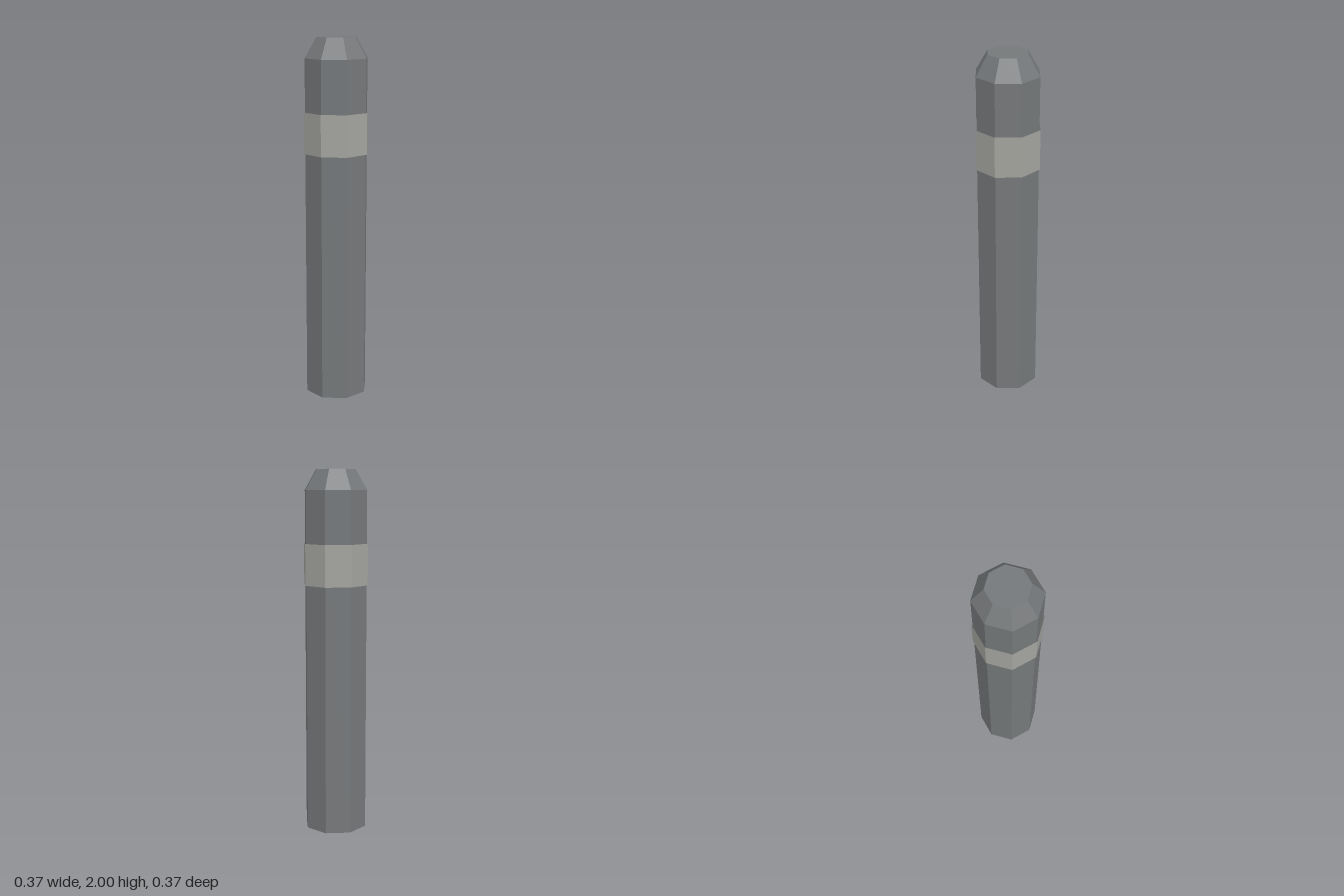
import * as THREE from 'three';

const SIDES = 8;

// Turn a [radius, height] profile, listed bottom to top, into a faceted part
function turned(name, profile, color, side = THREE.FrontSide) {
  const points = profile.map(([r, y]) => new THREE.Vector2(r, y));
  const material = new THREE.MeshStandardMaterial({ color, flatShading: true, side });
  const mesh = new THREE.Mesh(new THREE.LatheGeometry(points, SIDES), material);
  mesh.name = name;
  return mesh;
}

export function createModel() {
  const group = new THREE.Group();
  group.name = 'bollard';

  // Octagonal post with a chamfered top
  group.add(turned('post', [[0, 0], [0.177, 0], [0.177, 1.89], [0.112, 2], [0, 2]], 0x75787a));

  // Thin open sleeve around the upper post
  group.add(turned('band', [[0.183, 1.38], [0.183, 1.605]], 0xa3a39e, THREE.DoubleSide));

  return group;
}
